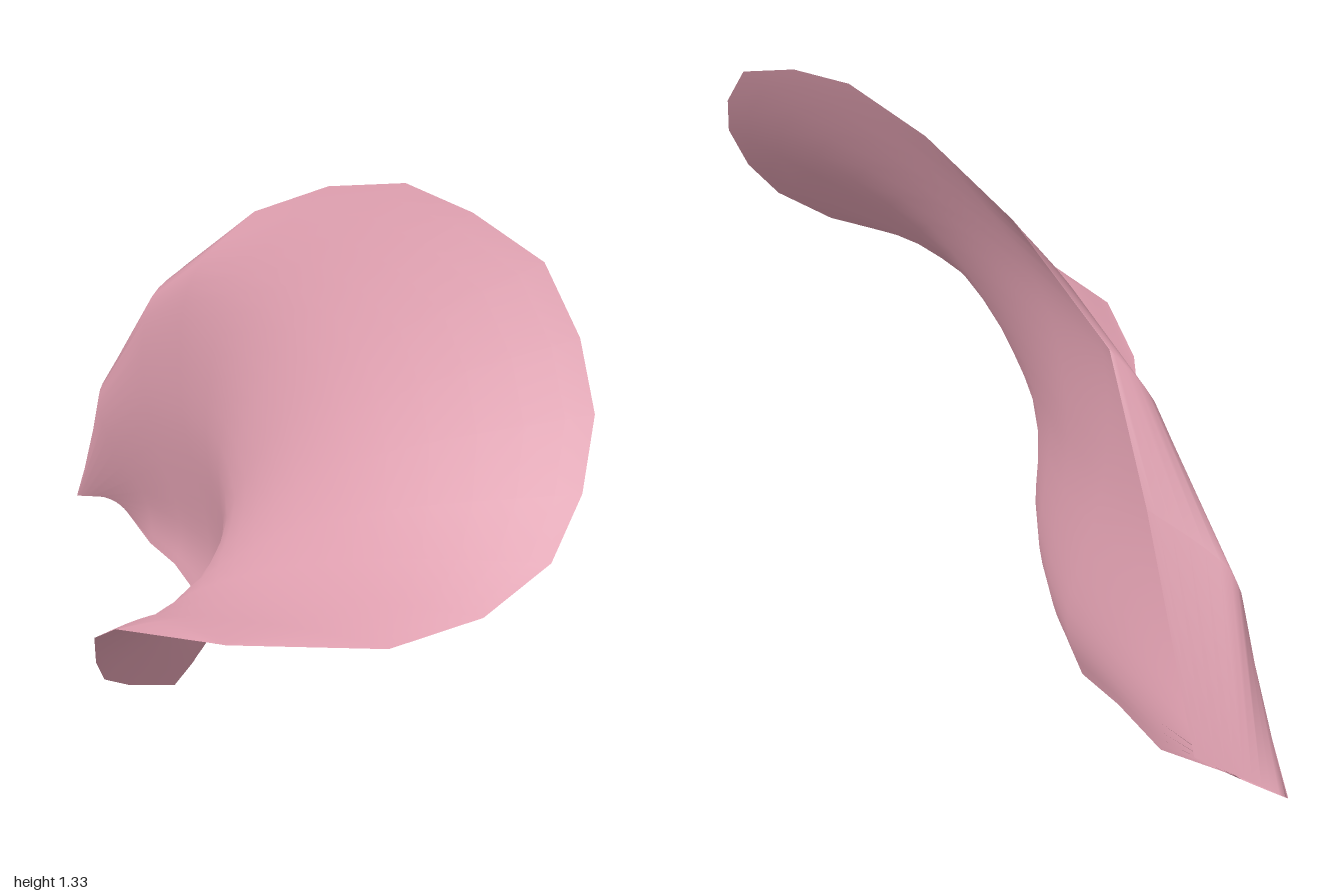
import * as THREE from 'three';

// Cross-sections from front to back, evenly spaced in z, as [x, y] pairs:
// lower rim, flared lip, waist, shoulder, upper rim. The front tip is a short line.
const SECTIONS = [
  [0.38, 0.534, 0.4, 0.535],
  [0.06, 0.46, 0.2, 0.51, 0.37, 0.542, 0.55, 0.556, 0.72, 0.55],
  [-0.07, 0.37, 0.08, 0.455, 0.29, 0.53, 0.59, 0.588, 0.88, 0.61],
  [-0.14, 0.25, 0, 0.385, 0.19, 0.515, 0.53, 0.635, 0.98, 0.71],
  [-0.19, 0.15, -0.06, 0.31, 0.13, 0.505, 0.47, 0.69, 1.0, 0.83],
  [-0.19, 0.09, -0.07, 0.265, 0.08, 0.5, 0.41, 0.77, 0.98, 0.97],
  [-0.19, 0.045, -0.075, 0.235, 0.04, 0.52, 0.34, 0.84, 0.9, 1.1],
  [-0.19, 0, -0.085, 0.22, -0.01, 0.55, 0.25, 0.91, 0.77, 1.23],
  [-0.2, 0.018, -0.1, 0.22, -0.09, 0.58, 0.12, 0.96, 0.55, 1.3],
  [-0.24, 0.02, -0.16, 0.22, -0.18, 0.6, -0.03, 0.98, 0.33, 1.33],
  [-0.29, 0.055, -0.24, 0.22, -0.285, 0.6, -0.21, 0.97, 0.07, 1.28],
  [-0.38, 0.055, -0.34, 0.22, -0.425, 0.6, -0.4, 0.95, -0.2, 1.17],
  [-0.52, 0.085, -0.5, 0.22, -0.61, 0.57, -0.6, 0.84, -0.48, 0.97],
  [-0.67, 0.085, -0.68, 0.21, -0.83, 0.43, -0.81, 0.58, -0.62, 0.68],
  [-0.86, 0.165, -0.92, 0.155, -1, 0.145, -0.9, 0.162, -0.79, 0.18],
];
const HALF_DEPTH = 0.79;
const STEPS = 24;

// Smooth curve through one cross-section
function sectionCurve(section) {
  const points = [];
  for (let k = 0; k < section.length; k += 2) {
    points.push(new THREE.Vector2(section[k], section[k + 1]));
  }
  return new THREE.SplineCurve(points);
}

// Loft a smooth open sheet through the cross-sections
function petalGeometry() {
  const positions = [];
  const indices = [];
  const row = STEPS + 1;
  SECTIONS.forEach((section, i) => {
    const z = HALF_DEPTH * (1 - (2 * i) / (SECTIONS.length - 1));
    const curve = sectionCurve(section);
    for (let j = 0; j <= STEPS; j++) {
      const p = curve.getPoint(j / STEPS);
      positions.push(p.x, p.y, z);
      if (i > 0 && j < STEPS) {
        const a = (i - 1) * row + j;
        const b = a + row;
        indices.push(a, a + 1, b, a + 1, b + 1, b);
      }
    }
  });
  const geometry = new THREE.BufferGeometry();
  geometry.setAttribute('position', new THREE.Float32BufferAttribute(positions, 3));
  geometry.setIndex(indices);
  geometry.computeVertexNormals();
  return geometry;
}

export function createModel() {
  const group = new THREE.Group();
  group.name = 'curledPetal';
  const pink = new THREE.MeshStandardMaterial({ color: 0xdb9cac, side: THREE.DoubleSide });
  pink.name = 'petal pink';
  const petal = new THREE.Mesh(petalGeometry(), pink);
  petal.name = 'petal';
  group.add(petal);
  return group;
}
